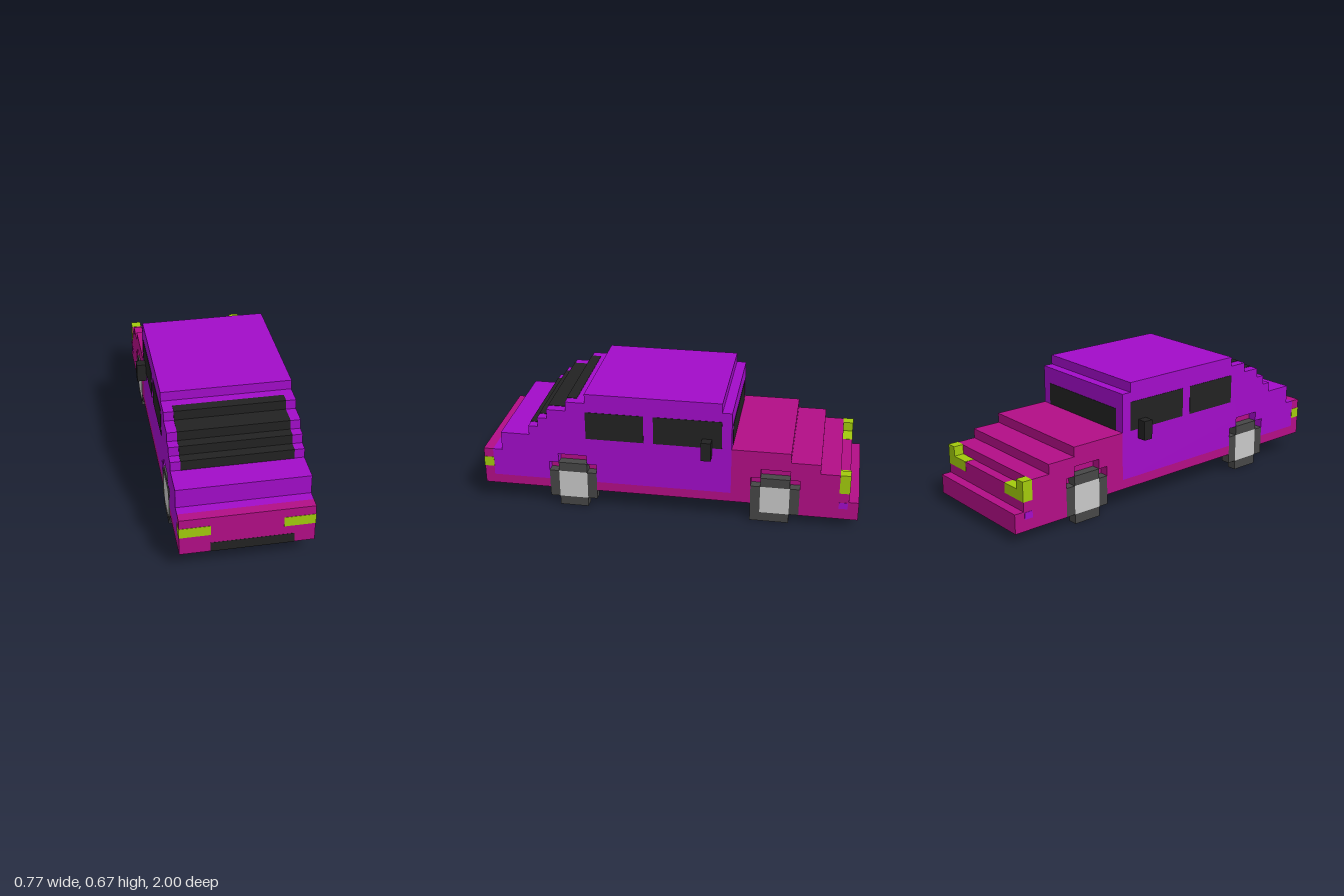
import * as THREE from 'three';

const U = 2 / 39; // one block
const material = (name, color) => {
  const m = new THREE.MeshStandardMaterial({ color });
  m.name = name;
  return m;
};

export function createModel() {
  const car = new THREE.Group();
  car.name = 'blockCar';
  const purple = material('purplePaint', 0xa20cc9);
  const pink = material('pinkPaint', 0xb20e86);
  const black = material('darkGlass', 0x222222);
  const lime = material('limeLight', 0xa2ca0c);
  const rubber = material('tyreGrey', 0x464646);
  const silver = material('hubSilver', 0xc8c8c8);

  // Block units: x sideways, y up, k counted backwards from the nose
  function box(name, mat, x0, x1, y0, y1, k0, k1, grow = 0) {
    const g = 2 * grow;
    const mesh = new THREE.Mesh(
      new THREE.BoxGeometry((x1 - x0 + g) * U, (y1 - y0 + g) * U, (k1 - k0 + g) * U), mat);
    mesh.position.set((x0 + x1) / 2 * U, (y0 + y1) / 2 * U, 1 - (k0 + k1) / 2 * U);
    mesh.name = name;
    car.add(mesh);
  }
  const sideBox = (name, mat, s, x0, x1, ...rest) =>
    box(name, mat, Math.min(s * x0, s * x1), Math.max(s * x0, s * x1), ...rest);

  // Side outline of [k, y] points extruded across the car
  function slab(name, mat, points, x0, x1) {
    const shape = new THREE.Shape(points.map(([k, y]) => new THREE.Vector2(k, y)));
    const geo = new THREE.ExtrudeGeometry(shape, { depth: x1 - x0, bevelEnabled: false });
    geo.rotateY(Math.PI / 2).translate(x0, 0, 0).scale(U, U, U).translate(0, 0, 1);
    const mesh = new THREE.Mesh(geo, mat);
    mesh.name = name;
    car.add(mesh);
  }

  const cabin = [[1, 3], [1, 6], [2, 6], [2, 8], [5, 8], [5, 9], [6, 9], [6, 10], [7, 10], [7, 11],
    [9, 11], [9, 12], [11, 12], [11, 13], [25, 13], [25, 12], [26, 12], [26, 3]];
  const tail = [[26, 2], [26, 8], [32, 8], [32, 7], [35, 7], [35, 6], [37, 6], [37, 5], [38, 5], [38, 2]];
  // Stepped wheel arch starting at block f
  const arch = (f, y) => [[f + 5, y], [f + 5, 5], [f + 4, 5], [f + 4, 6], [f + 1, 6], [f + 1, 5], [f, 5], [f, y]];

  // Core body between the wheels
  slab('cabinCore', purple, cabin, -5.5, 5.5);
  slab('tailCore', pink, tail, -5.5, 5.5);
  box('underbody', pink, -5.5, 5.5, 2, 3, 1, 26);
  box('floorPlate', purple, -5.5, 5.5, 1.95, 2, 8, 37.9);
  box('nosePanel', pink, -6.5, 6.5, 2, 6, 0, 1);
  box('rearBumper', pink, -6.5, 6.5, 1, 3, 38, 39);

  for (const s of [-1, 1]) {
    const front = s > 0 ? 7 : 6, rear = 28;
    const x0 = s > 0 ? 5.5 : -6.5, x1 = x0 + 1;

    // Outer body sides with wheel arches
    slab('cabinSide', purple, [...cabin, ...arch(front, 3)], x0, x1);
    slab('tailSide', pink, [...tail, ...arch(rear, 2)], x0, x1);
    box('frontSill', pink, x0, x1, 2, 3, 1, front);
    box('sideSill', pink, x0, x1, 2, 3, front + 5, 26);
    box('rearSkirt', pink, x0, x1, 1, 2, 33, 38);

    // Wheels: silver hub framed by four tyre bars
    for (const k of [front, rear]) {
      sideBox('archLiner', pink, s, 5.5, 5.54, 2, 6, k, k + 5);
      box('hub', silver, x0, x1, 1, 4, k + 1, k + 4);
      box('tyreBottom', rubber, x0, x1, 0, 1, s > 0 && k === rear ? k : k + 1, k + 4);
      box('tyreTop', rubber, x0, x1, 4, 5, k + 1, k + 4);
      box('tyreFront', rubber, x0, x1, 1, 4, k, k + 1);
      box('tyreBack', rubber, x0, x1, 1, 4, k + 4, k + 5);
    }

    // Side glass, mirrors and lights
    sideBox('frontSideWindow', black, s, 6.5, 6.54, 8, 11, 11, 17);
    sideBox('rearSideWindow', black, s, 6.5, 6.54, 8, 11, 18, 25);
    sideBox('mirror', black, s, 6.5, 7.5, 7, 9, 23, 24);
    sideBox('headlight', lime, s, 3.5, 6.5, 4, 5, 0, 1, 0.03);
    sideBox('tailLightOuter', lime, s, 5.5, 6.5, 4, 6, 37, 38, 0.03);
    sideBox('tailLightInner', lime, s, 3.5, 5.5, 4, 5, 37, 38, 0.03);
    sideBox('sideMarker', purple, s, 6.5, 6.53, 2.2, 2.9, 37, 37.9);
  }

  // Stepped windscreen laid over the cabin steps
  for (const [k0, k1, y] of [[5, 6, 8], [6, 7, 9], [7, 9, 10], [9, 10, 11]]) {
    box('windscreenRiser', black, -5.5, 5.5, y, y + 1.04, k0 - 0.04, k0);
    box('windscreenTread', black, -5.5, 5.5, y + 1, y + 1.04, k0, k1);
  }
  box('rearWindow', black, -5.5, 5.5, 8, 10.3, 26, 26.04);

  // Grille along the lower nose
  box('grille', black, -3.5, 4.5, 2, 3, 0, 1, 0.02);
  return car;
}
